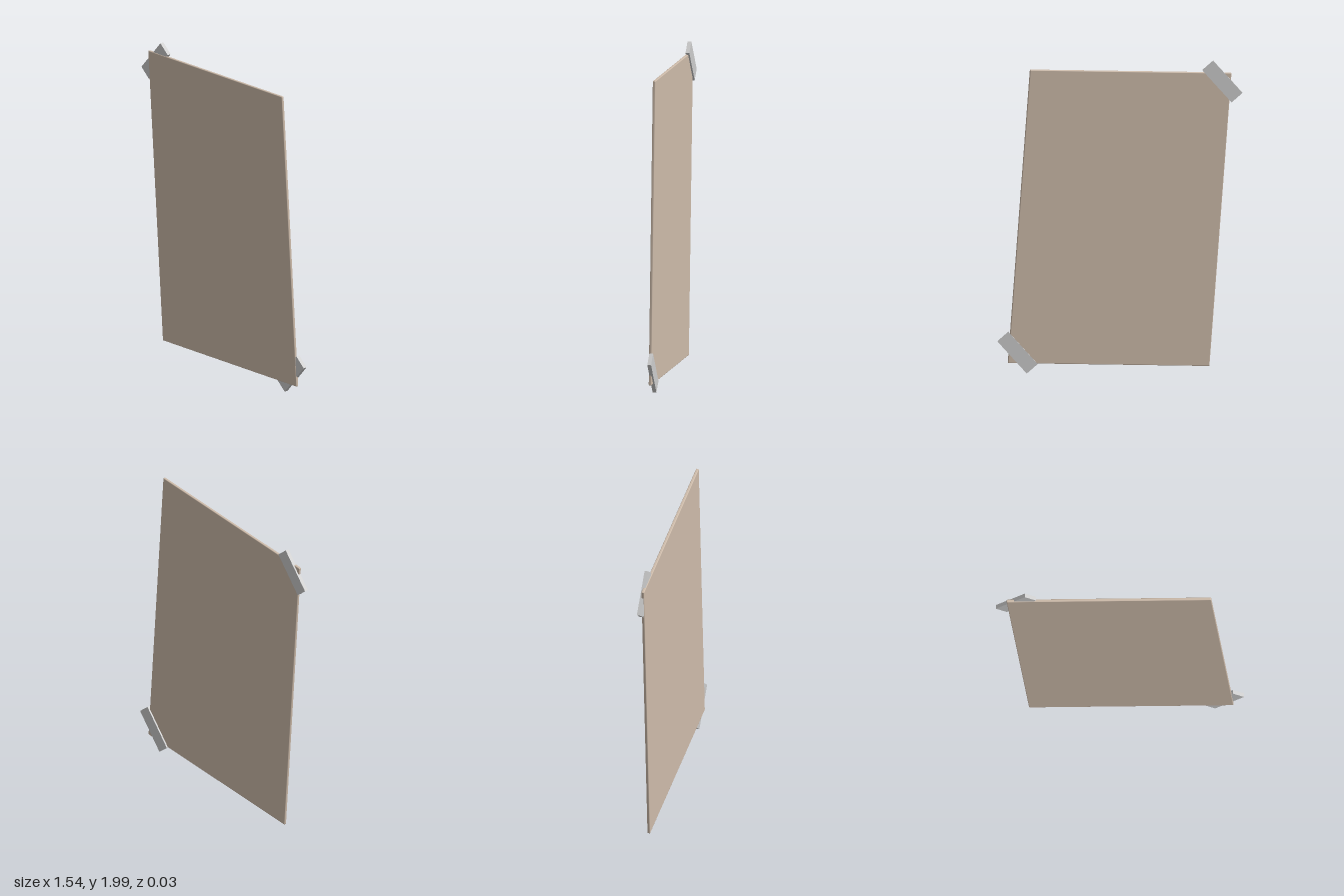
import * as THREE from 'three';
import { RoundedBoxGeometry } from 'three/addons/geometries/RoundedBoxGeometry.js';

export function createModel() {
  const model = new THREE.Group();
  model.name = 'tapedSheet';

  // Thin sheet, tilted a little, with softened edges
  const sheet = new THREE.Mesh(
    new RoundedBoxGeometry(1.27, 1.907, 0.018, 2, 0.005),
    new THREE.MeshStandardMaterial({ color: 0xcdbbaa })
  );
  sheet.name = 'sheet';
  sheet.position.set(0, 1.002, 0.005);
  sheet.rotation.z = 0.073;
  model.add(sheet);

  // Tape strips set diagonally across two opposite corners, behind the sheet
  const tapeMaterial = new THREE.MeshStandardMaterial({ color: 0xcccccc });
  const tapeGeometry = new THREE.BoxGeometry(0.28, 0.09, 0.024);
  for (const [name, x, y] of [['upperTape', -0.645, 1.855], ['lowerTape', 0.643, 0.163]]) {
    const tape = new THREE.Mesh(tapeGeometry, tapeMaterial);
    tape.name = name;
    tape.position.set(x, y, -0.002);
    tape.rotation.z = 0.873;
    model.add(tape);
  }

  return model;
}
